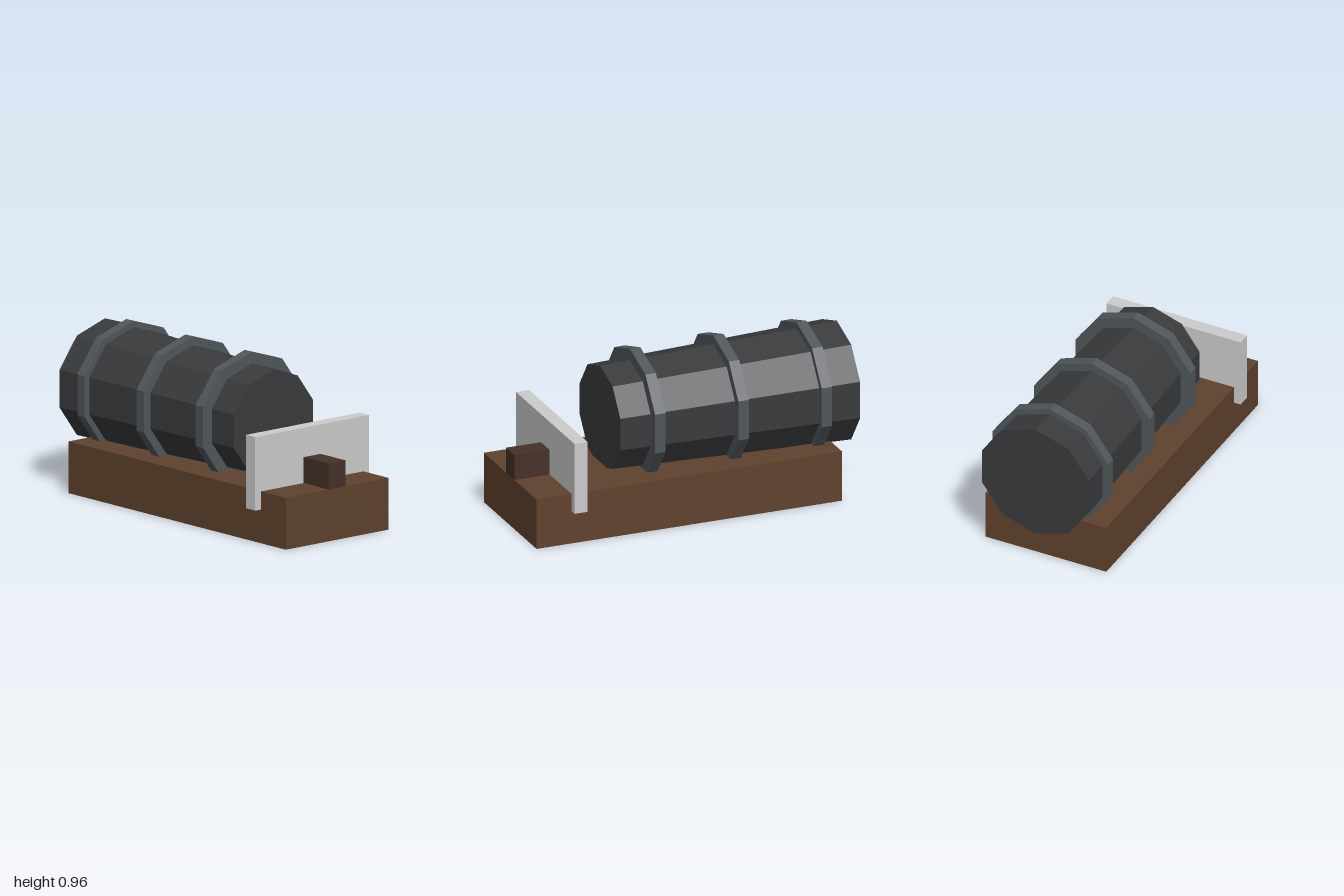
import * as THREE from 'three';

const material = (color) => new THREE.MeshStandardMaterial({ color, flatShading: true });

export function createModel() {
  const model = new THREE.Group();
  const wood = material(0x5f422d);
  const darkWood = material(0x443126);
  const iron = material(0x383a3c);
  const lightIron = material(0x50565a);
  const grey = material(0xcccccc);

  const add = (name, geometry, mat, x, y, z) => {
    const mesh = new THREE.Mesh(geometry, mat);
    mesh.name = name;
    mesh.position.set(x, y, z);
    model.add(mesh);
  };
  // Ten-sided drum lying along z, with a corner at the top
  const drum = (frontRadius, backRadius, length) =>
    new THREE.CylinderGeometry(frontRadius, backRadius, length, 10).rotateX(Math.PI / 2);

  // Wooden bed, front plate and the block that passes through it
  add('bed', new THREE.BoxGeometry(0.766, 0.3, 1.87), wood, 0, 0.15, 0.065);
  add('frontPlate', new THREE.BoxGeometry(0.85, 0.425, 0.08), grey, 0, 0.4075, 0.745);
  add('frontBlock', new THREE.BoxGeometry(0.126, 0.15, 0.34), darkWood, 0, 0.375, 0.83);

  // Barrel, slightly wider at the back, with three equal bands
  const axisY = 0.576;
  add('barrel', drum(0.31, 0.356, 1.45), iron, 0, axisY, -0.275);
  [0.235, -0.275, -0.785].forEach((z, i) =>
    add(`band${i + 1}`, drum(0.384, 0.384, 0.064), lightIron, 0, axisY, z));

  return model;
}
